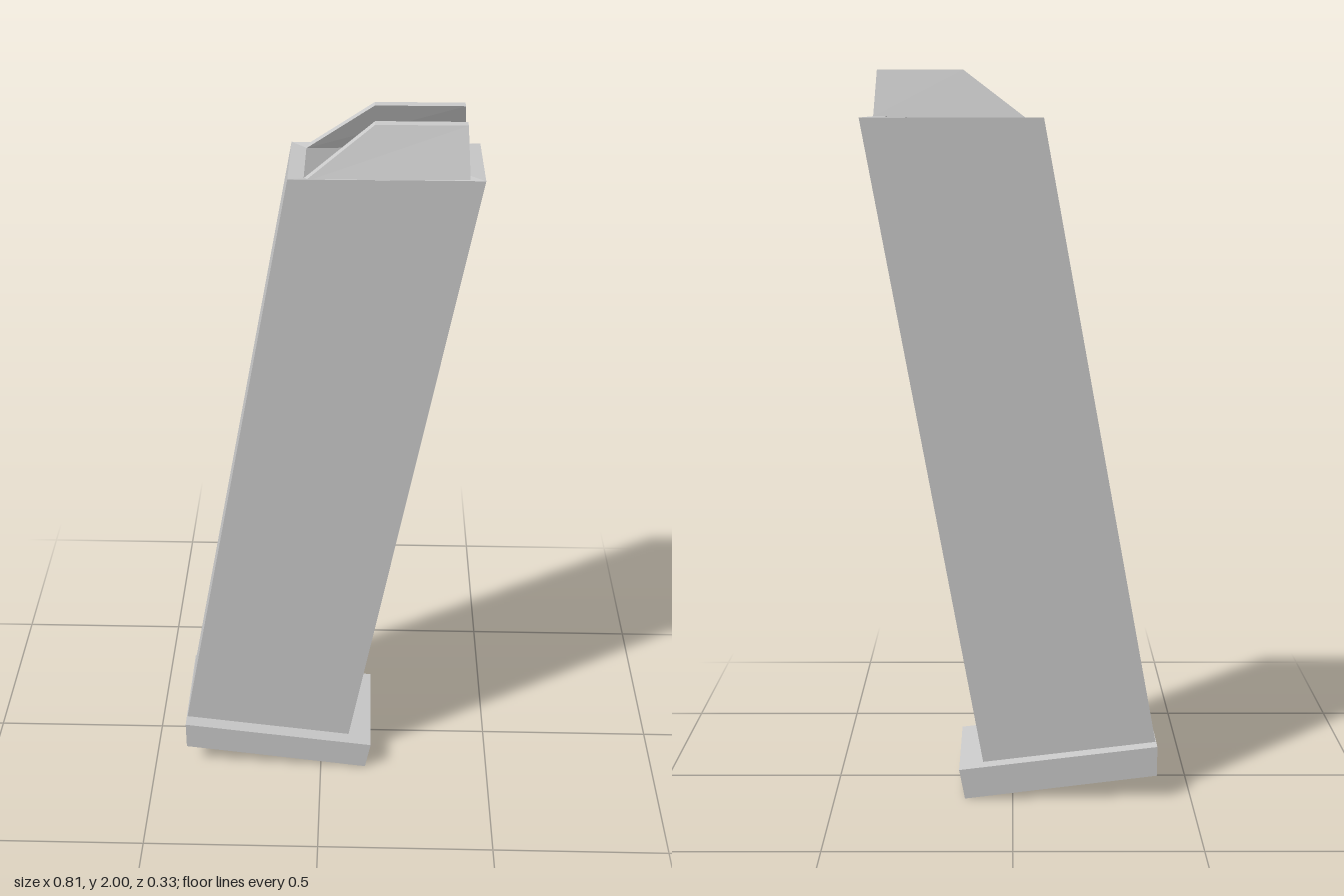
import * as THREE from 'three';

// Loft four-cornered loops (bottom to top) into flat faces, optionally capped
function loft(loops, capped) {
  const pos = [];
  const quad = (a, b, c, d) => pos.push(...a, ...b, ...c, ...a, ...c, ...d);
  for (let k = 0; k < loops.length - 1; k++) {
    const lo = loops[k], hi = loops[k + 1];
    for (let i = 0; i < 4; i++) {
      const j = (i + 1) % 4;
      quad(lo[i], lo[j], hi[j], hi[i]);
    }
  }
  if (capped) {
    quad(...[...loops[0]].reverse());
    quad(...loops[loops.length - 1]);
  }
  const geometry = new THREE.BufferGeometry();
  geometry.setAttribute('position', new THREE.Float32BufferAttribute(pos, 3));
  geometry.computeVertexNormals();
  return geometry;
}

// Loop spanning two x/y ends at half-width z
const loop = (x0, y0, x1, y1, z) => [[x0, y0, z], [x1, y1, z], [x1, y1, -z], [x0, y0, -z]];

export function createModel() {
  const group = new THREE.Group();
  const solid = new THREE.MeshStandardMaterial({ color: 0xcccccc, flatShading: true });
  const sheet = new THREE.MeshStandardMaterial({ color: 0xcccccc, flatShading: true, side: THREE.DoubleSide });
  const add = (name, geometry, material) => {
    const mesh = new THREE.Mesh(geometry, material);
    mesh.name = name;
    group.add(mesh);
  };

  // Slanted hollow body, open at the top, with an inward rim
  add('body', loft([
    loop(-0.402, 0.152, 0.083, 0.092, 0.126),
    loop(-0.082, 1.876, 0.402, 1.876, 0.126),
    loop(-0.043, 1.87, 0.364, 1.88, 0.1),
  ], false), sheet);

  // Two lips leaning in over the opening, ramped at the -x end
  for (const s of [1, -1]) {
    const section = (x0, y0, x1, y1, outer, inner) => {
      const pts = [[x0, y0, s * outer], [x1, y1, s * outer], [x1, y1, s * inner], [x0, y0, s * inner]];
      return s > 0 ? pts : pts.reverse();
    };
    add(s > 0 ? 'frontLip' : 'backLip', loft([
      section(-0.043, 1.869, 0.364, 1.879, 0.126, 0.1),
      section(0.13, 2, 0.356, 2, 0.081, 0.055),
    ], true), solid);
  }

  // Wider tilted base plate
  const outline = new THREE.Shape([[-0.404, 0.068], [0.134, 0], [0.15, 0.085], [-0.404, 0.153]]
    .map(([x, y]) => new THREE.Vector2(x, y)));
  const plate = new THREE.ExtrudeGeometry(outline, { depth: 0.33, bevelEnabled: false });
  plate.translate(0, 0, -0.165);
  add('basePlate', plate, solid);

  return group;
}
